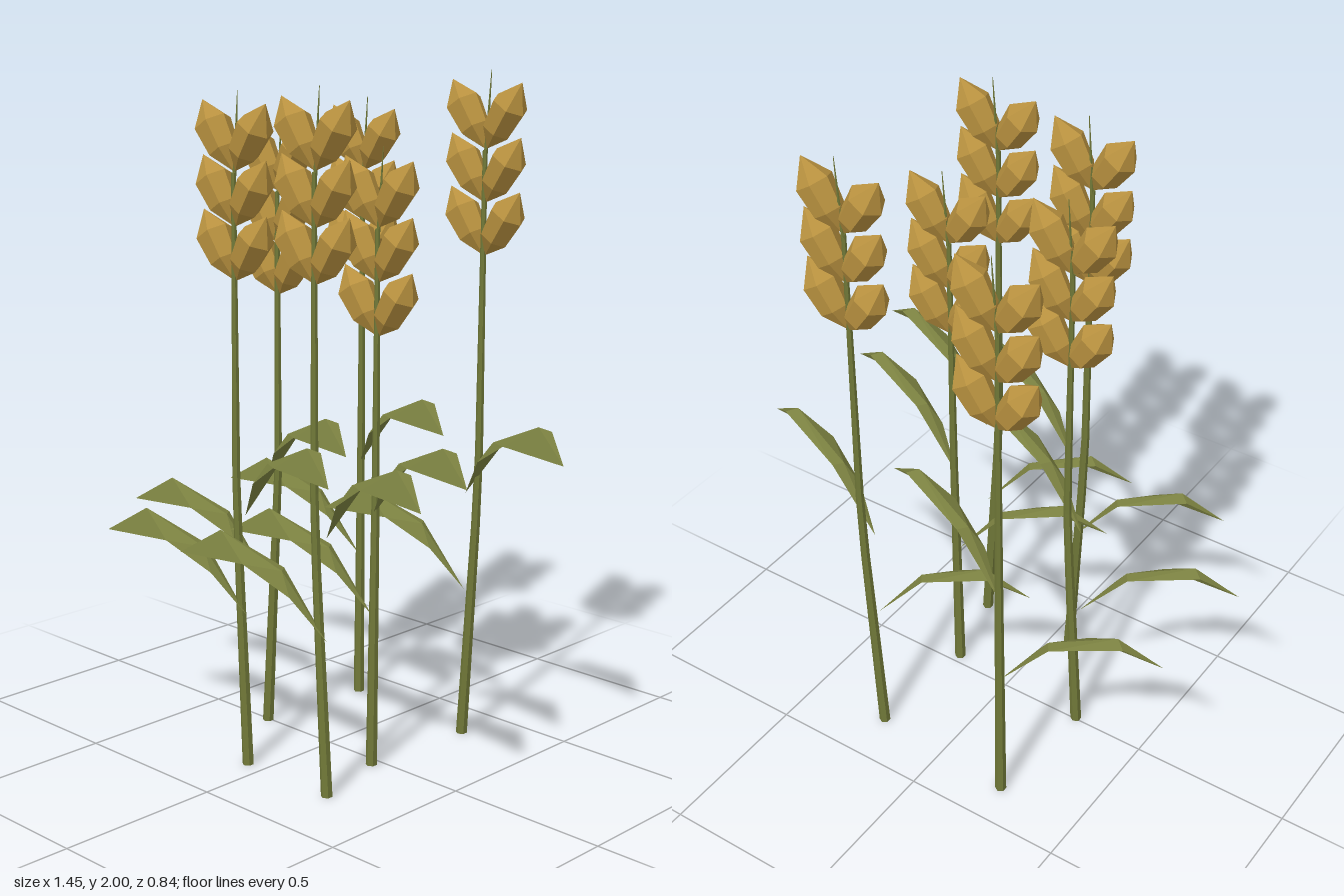
import * as THREE from 'three';

const wheatGold = new THREE.MeshStandardMaterial({ color: 0xb8913f });
const stemGreen = new THREE.MeshStandardMaterial({ color: 0x707838 });
const leafGreen = new THREE.MeshStandardMaterial({ color: 0x7a8040, side: THREE.DoubleSide });

// Facet a geometry so every face has its own normal
function facet(geometry) {
  const g = geometry.index ? geometry.toNonIndexed() : geometry;
  g.computeVertexNormals();
  return g;
}

function part(name, geometry, material, parent) {
  const mesh = new THREE.Mesh(geometry, material);
  mesh.name = name;
  parent.add(mesh);
  return mesh;
}

// Six-sided grain, pointed at both ends, growing up from its base
function grainGeometry() {
  const profile = [[0, 0], [0.045, 0.065], [0.054, 0.15], [0, 0.226]]
    .map(([r, y]) => new THREE.Vector2(r, y));
  return facet(new THREE.LatheGeometry(profile, 6, Math.PI / 2));
}

// Folded leaf that rises from the stem, bends at a knee and droops to a point
function leafGeometry(side) {
  const sections = [
    [[0, 0, 0], [0, 0, 0], [0, 0, 0]],
    [[0.155, 0.185, 0.012], [0.135, 0.185, 0.04], [0.09, 0.12, 0.055]],
    [[0.365, 0.26, 0.063], [0.335, 0.272, 0.085], [0.225, 0.2, 0.106]],
    [[0.46, 0.19, 0.13], [0.46, 0.19, 0.13], [0.46, 0.19, 0.13]],
  ];
  const positions = [];
  const push = (...corners) => corners.forEach(([x, y, z]) => positions.push(x * side, y, z));
  for (let i = 0; i < 3; i++) {
    for (let j = 0; j < 2; j++) {
      const a = sections[i][j], b = sections[i][j + 1];
      const c = sections[i + 1][j + 1], d = sections[i + 1][j];
      if (i > 0) push(a, b, c);
      if (i < 2) push(a, c, d);
    }
  }
  const g = new THREE.BufferGeometry();
  g.setAttribute('position', new THREE.Float32BufferAttribute(positions, 3));
  return facet(g);
}

// Tapered stem that leans until 0.8 high and then stands upright
function stemGeometry(height, lean) {
  const g = new THREE.CylinderGeometry(0.007, 0.017, height, 6, 8);
  g.translate(0, height / 2, 0);
  const p = g.attributes.position;
  for (let i = 0; i < p.count; i++) {
    const y = p.getY(i);
    p.setX(i, p.getX(i) + lean * Math.min(1, y / 0.8));
    p.setZ(i, p.getZ(i) - 0.006 * y / height);
  }
  return facet(g);
}

export function createModel() {
  const model = new THREE.Group();
  model.name = 'wheatPlants';
  const grain = grainGeometry();
  const leaves = { left: leafGeometry(1), right: leafGeometry(-1) };

  // Each plant: foot x, foot z, lean in x, height of the lowest grains
  const plants = [
    [-0.234, -0.371, 0.003, 1.375],
    [0.231, -0.338, 0.047, 1.475],
    [-0.265, 0.005, 0.049, 1.345],
    [0.2, 0.031, 0.008, 1.28],
    [-0.062, 0.281, -0.04, 1.43],
    [0.262, 0.281, -0.05, 1.455],
  ];

  plants.forEach(([x, z, lean, headY]) => {
    const plant = new THREE.Group();
    plant.name = 'wheatPlant';
    plant.position.set(x, 0, z);
    model.add(plant);

    part('stem', stemGeometry(headY + 0.3, lean), stemGreen, plant);
    part('leftLeaf', leaves.left, leafGreen, plant).position.y = 0.76;
    part('rightLeaf', leaves.right, leafGreen, plant).position.y = 0.46;

    // Ear with three tiers of paired grains
    const ear = new THREE.Group();
    ear.name = 'ear';
    ear.position.set(lean, headY, -0.009);
    plant.add(ear);
    for (let tier = 0; tier < 3; tier++) {
      for (const side of [-1, 1]) {
        const mesh = part('grain', grain, wheatGold, ear);
        mesh.position.set(side * 0.004, tier * 0.152, 0);
        mesh.rotation.z = -side * 0.575;
      }
    }

    // Thin bristle at the top of the ear
    const awn = part('awn', facet(new THREE.CylinderGeometry(0.001, 0.006, 0.235, 5)), stemGreen, ear);
    awn.position.set(0.008, 0.408, 0);
    awn.rotation.z = -0.07;
  });

  return model;
}
